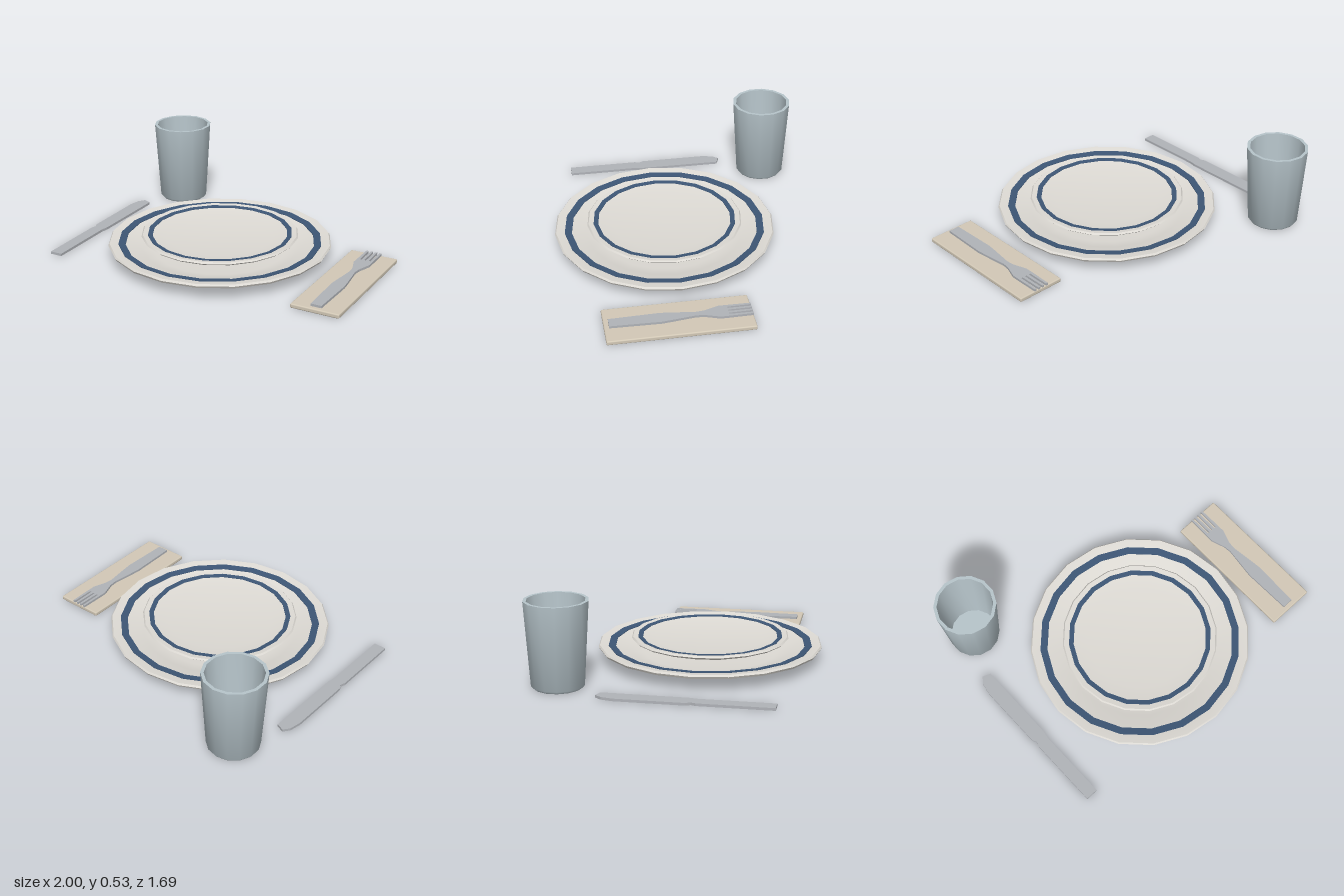
import * as THREE from 'three';
import { toCreasedNormals } from 'three/addons/utils/BufferGeometryUtils.js';
import { RoundedBoxGeometry } from 'three/addons/geometries/RoundedBoxGeometry.js';

const material = (color) => new THREE.MeshStandardMaterial({ color });
const china = material(0xdedbd5);
const blue = material(0x3d5675);
const steel = material(0xb0b3b8);
const glassTint = material(0xb6c4ca);
const linen = material(0xd2c8b6);

function addMesh(parent, name, geometry, mat) {
  const mesh = new THREE.Mesh(geometry, mat);
  mesh.name = name;
  parent.add(mesh);
  return mesh;
}

// Revolved solid; the profile runs from the bottom axis round the rim to the inside axis
function turned(profile, sides) {
  const points = profile.map(([r, y]) => new THREE.Vector2(r, y));
  return toCreasedNormals(new THREE.LatheGeometry(points, sides), 0.75);
}

// Flat piece cut from an outline of [x, z] points, lying between y = bottom and y = top
function flatPiece(outline, bottom, top) {
  const shape = new THREE.Shape(outline.map(([x, z]) => new THREE.Vector2(x, z)));
  const geometry = new THREE.ExtrudeGeometry(shape, { depth: top - bottom, bevelEnabled: false });
  return geometry.rotateX(Math.PI / 2).translate(0, top, 0);
}

// Plate with a coloured band laid just above its surface
function makePlate(name, profile, band) {
  const plate = new THREE.Group();
  plate.name = name;
  addMesh(plate, name + 'Body', turned(profile, 20), china);
  addMesh(plate, name + 'Band', turned(band, 20), blue);
  plate.position.set(-0.055, 0, 0.13);
  return plate;
}

// Fork outline: half of the handle and neck, mirrored, with four tines across the head
function forkOutline() {
  const side = [[0.035, 0.6], [0.043, 0.29], [0.035, 0.22], [0.017, 0.08], [0.022, 0.03], [0.053, -0.06]];
  const outline = side.map(([x, z]) => [-x, z]);
  const tines = 4, width = 0.018, pitch = (0.106 - width) / (tines - 1);
  for (let i = 0; i < tines; i++) {
    const x = -0.053 + i * pitch;
    outline.push([x, -0.115], [x + 0.002, -0.26], [x + width - 0.002, -0.26], [x + width, -0.115]);
  }
  return outline.concat([...side].reverse());
}

export function createModel() {
  const model = new THREE.Group();
  model.name = 'placeSetting';

  // Plates, the small one stacked on the large one
  model.add(makePlate('dinnerPlate',
    [[0, 0], [0.39, 0], [0.46, 0.025], [0.7, 0.078], [0.708, 0.092], [0.7, 0.103],
      [0.6, 0.09], [0.5, 0.055], [0.42, 0.04], [0, 0.04]],
    [[0.6, 0.088], [0.645, 0.093], [0.645, 0.1], [0.6, 0.094], [0.6, 0.088]]));
  model.add(makePlate('saladPlate',
    [[0, 0.08], [0.33, 0.08], [0.41, 0.104], [0.485, 0.13], [0.498, 0.141], [0.49, 0.151],
      [0.42, 0.141], [0.34, 0.13], [0, 0.128]],
    [[0.428, 0.14], [0.458, 0.143], [0.458, 0.149], [0.428, 0.145], [0.428, 0.14]]));

  // Tumbler with a thick wall
  const tumbler = addMesh(model, 'tumbler', turned(
    [[0, 0], [0.15, 0], [0.162, 0.015], [0.195, 0.53], [0.175, 0.53], [0.148, 0.035], [0, 0.035]], 14), glassTint);
  tumbler.position.set(-0.795, 0, -0.66);

  // Knife, blade pointing to the back
  addMesh(model, 'knife', flatPiece(
    [[-0.996, 0.655], [-0.996, 0.2], [-0.985, 0.17], [-1, 0.14], [-1, -0.28], [-0.985, -0.355],
      [-0.955, -0.395], [-0.905, -0.375], [-0.908, 0.15], [-0.917, 0.2], [-0.917, 0.655]], 0, 0.016), steel);

  // Folded napkin with the fork on top
  const napkin = addMesh(model, 'napkin', new RoundedBoxGeometry(0.312, 0.028, 0.89, 2, 0.008), linen);
  napkin.position.set(0.841, 0.014, 0.185);
  const fork = addMesh(model, 'fork', flatPiece(forkOutline(), 0.028, 0.043), steel);
  fork.position.x = 0.839;

  return model;
}
